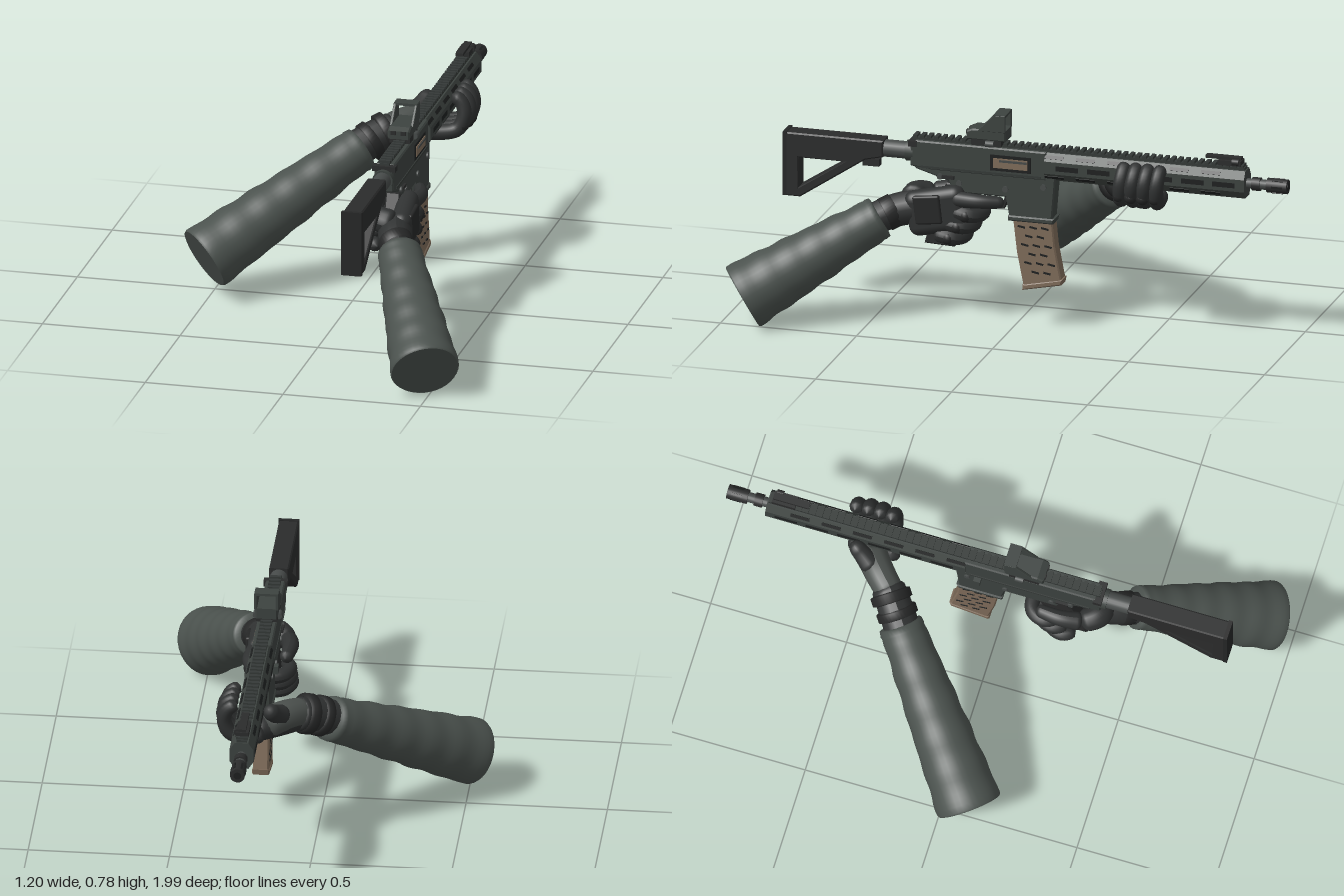
import * as THREE from 'three';
import { RoundedBoxGeometry } from 'three/addons/geometries/RoundedBoxGeometry.js';

const mat = (name, color) => {
  const m = new THREE.MeshStandardMaterial({ color, side: THREE.DoubleSide });
  m.name = name;
  return m;
};
const V = (a) => new THREE.Vector3(...a);

export function createModel() {
  const M = {
    metal: mat('gunmetal', 0x3d4340), dark: mat('black polymer', 0x2b2c2c), rail: mat('rail', 0x343937),
    steel: mat('barrel steel', 0x474b4a), tan: mat('tan polymer', 0x7f6c5a), slot: mat('slot', 0x1e2020),
    sleeve: mat('sleeve cloth', 0x4b524e), glove: mat('glove', 0x303232), pad: mat('glove pad', 0x262727),
    fabric: mat('glove fabric', 0x4c514e),
  };
  const root = new THREE.Group();
  root.name = 'armsWithRifle';
  const group = (name, x = 0) => {
    const g = new THREE.Group();
    g.name = name;
    g.position.x = x;
    root.add(g);
    return g;
  };
  const add = (g, name, geo, m) => {
    const mesh = new THREE.Mesh(geo, m);
    mesh.name = name;
    g.add(mesh);
    return mesh;
  };
  const box = (g, name, m, x, y, z, w, h, d) => {
    const b = add(g, name, new THREE.BoxGeometry(w, h, d), m);
    b.position.set(x, y, z);
    return b;
  };
  // Round bar along z
  const rod = (g, name, m, r, z0, z1, y, x = 0, seg = 20) => {
    const c = add(g, name, new THREE.CylinderGeometry(r, r, Math.abs(z1 - z0), seg).rotateX(Math.PI / 2), m);
    c.position.set(x, y, (z0 + z1) / 2);
    return c;
  };
  // Side profile of [z, y] points given a width across x
  const side = (g, name, m, pts, w, holes = [], x = 0, bevel = 0.005) => {
    const s = new THREE.Shape(pts.map((p) => new THREE.Vector2(...p)));
    holes.forEach((h) => s.holes.push(new THREE.Path(h.map((p) => new THREE.Vector2(...p)))));
    const depth = w - 2 * bevel;
    const geo = new THREE.ExtrudeGeometry(s, {
      depth, bevelEnabled: bevel > 0, bevelSize: bevel, bevelOffset: -bevel, bevelThickness: bevel, bevelSegments: 1,
    });
    geo.translate(0, 0, -depth / 2).rotateY(-Math.PI / 2).translate(x, 0, 0);
    return add(g, name, geo, m);
  };
  // Rounded tapering limb through points
  const limb = (g, name, m, pts, r0, r1, cap = 0.12) => {
    const curve = new THREE.CatmullRomCurve3(pts.map(V));
    const n = 28, seg = 14, geo = new THREE.TubeGeometry(curve, n, 1, seg);
    const p = geo.attributes.position, v = new THREE.Vector3();
    for (let i = 0; i <= n; i++) {
      const t = i / n, c = curve.getPointAt(t);
      const e = Math.min(1, Math.min(t, 1 - t) / cap);
      const r = (r0 + (r1 - r0) * t) * Math.sqrt(Math.max(0, 1 - (1 - e) ** 2));
      for (let j = 0; j <= seg; j++) {
        const k = i * (seg + 1) + j;
        v.fromBufferAttribute(p, k).sub(c).multiplyScalar(r).add(c);
        p.setXYZ(k, v.x, v.y, v.z);
      }
    }
    geo.computeVertexNormals();
    return add(g, name, geo, m);
  };
  // Turned form from a to b; profile is [radius, fraction]
  const turned = (g, name, m, a, b, profile, ripple = 0) => {
    const d = V(b).sub(V(a)), len = d.length();
    const geo = new THREE.LatheGeometry(profile.map(([r, t]) => new THREE.Vector2(r, t * len)), 36);
    const p = geo.attributes.position;
    for (let i = 0; i < p.count; i++) {
      const ang = Math.atan2(p.getZ(i), p.getX(i)), k = 1 + ripple * Math.sin(ang * 3 + p.getY(i) * 40);
      p.setX(i, p.getX(i) * k);
      p.setZ(i, p.getZ(i) * k);
    }
    const mesh = add(g, name, geo, m);
    mesh.position.copy(V(a));
    mesh.quaternion.setFromUnitVectors(new THREE.Vector3(0, 1, 0), d.normalize());
    return mesh;
  };

  // ---------- Rifle ----------
  const gun = group('rifle', 0.21);
  side(gun, 'stock', M.dark, [[0.845, 0.43], [0.845, 0.665], [0.48, 0.665], [0.48, 0.605], [0.545, 0.59], [0.785, 0.43]], 0.07,
    [[[0.79, 0.575], [0.62, 0.575], [0.79, 0.465]]]);
  box(gun, 'buttPad', M.pad, 0, 0.55, 0.84, 0.074, 0.236, 0.014);
  box(gun, 'stockLatch', M.dark, 0, 0.575, 0.53, 0.03, 0.025, 0.06);
  rod(gun, 'bufferTube', M.steel, 0.031, 0.36, 0.6, 0.63);
  rod(gun, 'castleNut', M.metal, 0.037, 0.37, 0.4, 0.63);
  side(gun, 'upperReceiver', M.metal, [[0.38, 0.585], [0.38, 0.665], [0.36, 0.68], [-0.12, 0.68], [-0.12, 0.575], [0.3, 0.575]], 0.07);
  side(gun, 'lowerReceiver', M.metal, [[0.38, 0.6], [0.36, 0.575], [0.24, 0.54], [0.22, 0.5], [0.03, 0.5], [0.015, 0.42],
    [-0.14, 0.42], [-0.155, 0.6]], 0.064);
  side(gun, 'magazineWellLip', M.metal, [[0.02, 0.415], [0.02, 0.435], [-0.15, 0.435], [-0.145, 0.415]], 0.074);
  side(gun, 'pistolGrip', M.dark, [[0.25, 0.53], [0.14, 0.53], [0.16, 0.46], [0.22, 0.295], [0.33, 0.3], [0.3, 0.42]], 0.052);
  side(gun, 'triggerGuard', M.dark, [[0.16, 0.51], [0.15, 0.45], [0.04, 0.45], [0.02, 0.51]], 0.026,
    [[[0.142, 0.5], [0.138, 0.46], [0.046, 0.46], [0.035, 0.5]]], 0, 0.002);
  box(gun, 'trigger', M.steel, 0, 0.48, 0.1, 0.012, 0.04, 0.012);
  box(gun, 'ejectionPortFrame', M.slot, 0.036, 0.626, 0.01, 0.004, 0.058, 0.15);
  box(gun, 'ejectionPortCover', M.tan, 0.038, 0.626, 0.01, 0.006, 0.036, 0.125);
  box(gun, 'bolt', M.steel, 0.041, 0.635, 0.0, 0.004, 0.008, 0.1);
  box(gun, 'boltCatch', M.metal, -0.042, 0.56, -0.07, 0.022, 0.03, 0.025);
  box(gun, 'chargingHandle', M.dark, 0, 0.668, 0.37, 0.085, 0.02, 0.03);
  for (const s of [-1, 1]) {
    for (const [y, z] of [[0.555, 0.27], [0.55, -0.11], [0.535, 0.2], [0.53, 0.03]]) {
      const pin = add(gun, 'pin', new THREE.CylinderGeometry(0.011, 0.011, 0.008, 12).rotateZ(Math.PI / 2), M.steel);
      pin.position.set(s * 0.034, y, z);
    }
    box(gun, 'selector', M.dark, s * 0.036, 0.555, 0.24, 0.01, 0.012, 0.045);
    box(gun, 'receiverRib', M.rail, s * 0.0355, 0.586, 0.12, 0.005, 0.008, 0.44);
  }

  // Magazine with slotted grip pattern
  side(gun, 'magazine', M.tan, [[0.005, 0.43], [-0.14, 0.43], [-0.15, 0.33], [-0.175, 0.2], [-0.035, 0.172], [-0.01, 0.3]], 0.056);
  side(gun, 'magazineBase', M.tan, [[-0.032, 0.182], [-0.178, 0.212], [-0.174, 0.19], [-0.03, 0.16]], 0.062);
  for (let i = 0; i < 6; i++) for (let j = 0; j < 3; j++) for (const s of [-1, 1]) {
    const y = 0.395 - i * 0.033;
    if (i % 2 && j === 2) continue;
    const slot = box(gun, 'magazineSlot', M.slot, s * 0.028, y, -0.028 - j * 0.043 - (i % 2) * 0.021 - i * 0.006, 0.004, 0.007, 0.027);
    slot.rotation.x = -0.18;
  }

  // Handguard, rail and barrel
  side(gun, 'handguardCore', M.metal, [[-0.11, 0.58], [-0.11, 0.675], [-0.85, 0.675], [-0.85, 0.58]], 0.05, [], 0, 0);
  const oct = new THREE.Shape([[-0.043, 0.605], [-0.043, 0.65], [-0.024, 0.678], [0.024, 0.678], [0.043, 0.65], [0.043, 0.605],
    [0.024, 0.577], [-0.024, 0.577]].map((p) => new THREE.Vector2(...p)));
  add(gun, 'handguard', new THREE.ExtrudeGeometry(oct, { depth: 0.735, bevelEnabled: false }).translate(0, 0, -0.85), M.metal);
  for (let i = 0; i < 6; i++) for (const s of [-1, 1]) {
    const z = -0.2 - i * 0.115;
    box(gun, 'sideSlot', M.slot, s * 0.0425, 0.627, z, 0.004, 0.018, 0.082);
    for (const up of [-1, 1]) {
      const p = box(gun, 'angledSlot', M.slot, s * 0.0335, 0.6275 + up * 0.0365, z + 0.05, 0.004, 0.013, 0.07);
      p.rotation.z = s * up * 0.6;
    }
  }
  box(gun, 'topRail', M.rail, 0, 0.682, -0.235, 0.036, 0.01, 1.22);
  for (let i = 0; i < 48; i++) box(gun, 'railTooth', M.rail, 0, 0.691, 0.365 - i * 0.0255, 0.042, 0.01, 0.014);
  rod(gun, 'barrel', M.steel, 0.018, -0.84, -0.95, 0.627);
  rod(gun, 'barrelCollar', M.dark, 0.024, -0.87, -0.9, 0.627);
  rod(gun, 'muzzleDevice', M.dark, 0.026, -0.925, -1, 0.627);
  rod(gun, 'bore', M.slot, 0.014, -0.998, -1.001, 0.627);
  for (let i = 0; i < 6; i++) {
    const a = i * Math.PI / 3;
    const b = box(gun, 'muzzlePort', M.slot, Math.cos(a) * 0.0255, 0.627 + Math.sin(a) * 0.0255, -0.965, 0.004, 0.008, 0.04);
    b.rotation.z = a;
  }
  // Folded front sight
  box(gun, 'frontSightBase', M.dark, 0, 0.701, -0.79, 0.046, 0.018, 0.085);
  box(gun, 'frontSightArm', M.dark, 0, 0.716, -0.765, 0.026, 0.01, 0.13);
  rod(gun, 'frontSightHinge', M.dark, 0.012, -0.8, -0.825, 0.706, 0.018);

  // Open reflex optic
  box(gun, 'opticClamp', M.dark, 0, 0.696, 0.1, 0.075, 0.022, 0.11);
  side(gun, 'opticBase', M.metal, [[0.172, 0.705], [0.172, 0.735], [0.15, 0.745], [0.028, 0.745], [0.028, 0.705]], 0.08);
  for (const s of [-1, 1]) {
    side(gun, 'opticWall', M.metal, [[0.13, 0.74], [0.07, 0.803], [0.028, 0.803], [0.028, 0.74]], 0.01, [], s * 0.038, 0.002);
    rod(gun, 'clampScrew', M.steel, 0.012, 0.07, 0.1, 0.695, s * 0.04, 12);
    box(gun, 'opticButton', M.dark, s * 0.018, 0.728, 0.172, 0.018, 0.014, 0.008);
  }
  box(gun, 'opticRoof', M.metal, 0, 0.8, 0.05, 0.084, 0.009, 0.044);

  // ---------- Sleeves ----------
  const sleeveProfile = (r0, r1) => {
    const pts = [[r0 * 0.97, 0]];
    for (let i = 0; i <= 30; i++) {
      const t = 0.01 + i * 0.0315;
      pts.push([r0 + (r1 - r0) * t ** 1.1 + 0.0018 * Math.sin(t * 36), t]);
    }
    return pts.concat([[r1 * 1.06, 0.965], [r1 * 1.02, 0.995], [r1 * 0.75, 1]]);
  };
  const sleeve = (g, a, b, r0, r1) => {
    turned(g, 'sleeve', M.sleeve, a, b, sleeveProfile(r0, r1), 0.012);
    turned(g, 'sleeveEnd', M.sleeve, a, b, [[0, 0.002], [r0 * 0.97, 0.002]], 0.012);
  };

  // ---------- Hand on the pistol grip ----------
  const rear = group('gripArm');
  sleeve(rear, [0.497, 0.127, 0.92], [0.29, 0.4, 0.475], 0.122, 0.075);
  limb(rear, 'wrist', M.glove, [[0.31, 0.38, 0.52], [0.265, 0.42, 0.43], [0.24, 0.44, 0.34]], 0.056, 0.062);
  turned(rear, 'wristStrap', M.pad, [0.285, 0.405, 0.465], [0.26, 0.425, 0.425], [[0.05, 0], [0.061, 0.1], [0.061, 0.9], [0.05, 1]]);
  const palm = add(rear, 'palm', new RoundedBoxGeometry(0.075, 0.165, 0.22, 4, 0.036), M.glove);
  palm.position.set(0.262, 0.435, 0.275);
  palm.rotation.set(0.2, 0.08, 0);
  const plate = add(rear, 'knucklePad', new RoundedBoxGeometry(0.02, 0.105, 0.1, 3, 0.008), M.pad);
  plate.position.set(0.297, 0.445, 0.3);
  plate.rotation.x = 0.12;
  limb(rear, 'thumbWeb', M.glove, [[0.25, 0.46, 0.37], [0.2, 0.47, 0.365], [0.16, 0.46, 0.31]], 0.05, 0.04, 0.25);
  limb(rear, 'thumb', M.glove, [[0.16, 0.47, 0.32], [0.145, 0.485, 0.24], [0.155, 0.48, 0.15]], 0.034, 0.023);
  limb(rear, 'indexFinger', M.glove, [[0.265, 0.485, 0.22], [0.278, 0.487, 0.12], [0.25, 0.482, 0.03]], 0.03, 0.021);
  for (let i = 0; i < 3; i++) {
    const y = 0.43 - i * 0.044, z = i * 0.032;
    limb(rear, 'finger', M.glove, [[0.265, y + 0.01, 0.22 + z], [0.268, y, 0.15 + z], [0.225, y - 0.005, 0.125 + z],
      [0.165, y - 0.005, 0.135 + z], [0.14, y, 0.185 + z], [0.165, y, 0.23 + z]], 0.03, 0.024, 0.08);
    const k = add(rear, 'knuckle', new THREE.SphereGeometry(0.024, 14, 10), M.pad);
    k.position.set(0.28, y, 0.165 + z);
  }

  // ---------- Hand on the handguard ----------
  const front = group('supportArm');
  sleeve(front, [-0.512, 0.172, 0.108], [-0.04, 0.492, -0.29], 0.118, 0.077);
  limb(front, 'wrist', M.glove, [[-0.08, 0.475, -0.26], [0.0, 0.52, -0.32], [0.07, 0.55, -0.375]], 0.066, 0.06);
  for (const [a, b] of [[[-0.025, 0.503, -0.3], [0.0, 0.52, -0.32]], [[0.015, 0.528, -0.333], [0.045, 0.542, -0.355]]])
    turned(front, 'wristStrap', M.pad, a, b, [[0.06, 0], [0.073, 0.12], [0.073, 0.88], [0.06, 1]]);
  limb(front, 'backOfHand', M.fabric, [[0.03, 0.545, -0.34], [0.1, 0.56, -0.41], [0.175, 0.55, -0.47]], 0.05, 0.058, 0.2);
  limb(front, 'palm', M.glove, [[0.05, 0.53, -0.35], [0.12, 0.538, -0.42], [0.22, 0.535, -0.48]], 0.05, 0.05, 0.2);
  limb(front, 'thumb', M.glove, [[0.1, 0.57, -0.43], [0.135, 0.61, -0.49], [0.148, 0.64, -0.525]], 0.04, 0.026, 0.25);
  for (let i = 0; i < 4; i++) {
    const z = -0.405 - i * 0.044, o = 0.012 * Math.sin((i + 0.5) * Math.PI / 4);
    limb(front, 'finger', M.glove, [[0.16, 0.538, z + 0.02], [0.22, 0.535, z + 0.01], [0.28, 0.55, z], [0.298 + o, 0.605, z - 0.005],
      [0.283 + o, 0.65, z - 0.01], [0.255, 0.672, z - 0.01]], 0.03, 0.024, 0.08);
    const k = add(front, 'knuckle', new THREE.SphereGeometry(0.024, 14, 10), M.pad);
    k.position.set(0.292 + o, 0.565, z);
  }
  return root;
}
